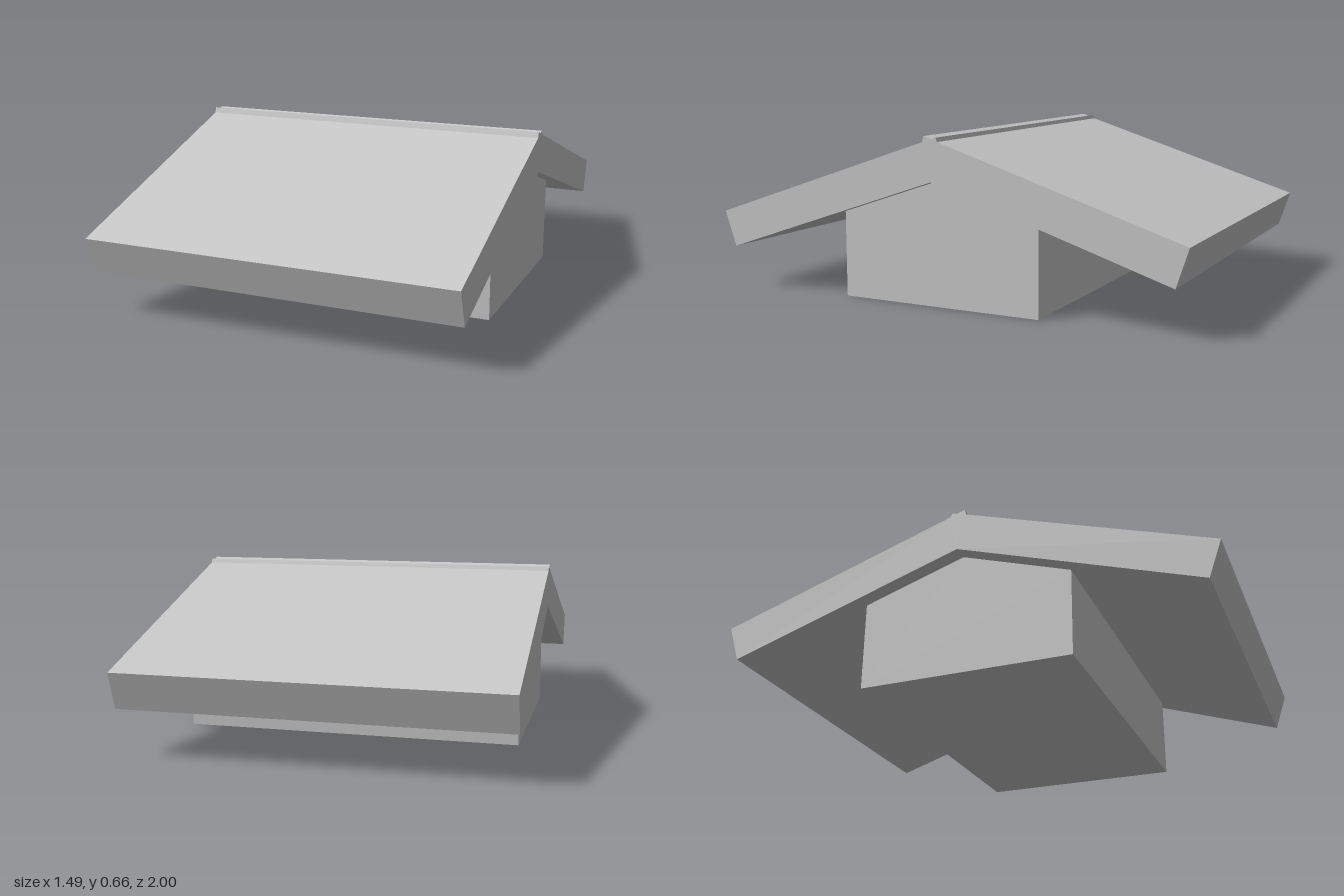
import * as THREE from 'three';

// Extrudes a side profile, given as [z, y] points, symmetrically along x
function extrudeProfile(name, points, width, material) {
  const shape = new THREE.Shape(points.map(([z, y]) => new THREE.Vector2(z, y)));
  const geometry = new THREE.ExtrudeGeometry(shape, { depth: width, bevelEnabled: false });
  geometry.translate(0, 0, -width / 2);
  geometry.rotateY(-Math.PI / 2);
  const mesh = new THREE.Mesh(geometry, material);
  mesh.name = name;
  return mesh;
}

export function createModel() {
  const model = new THREE.Group();
  model.name = 'gabledHouse';
  const plaster = new THREE.MeshStandardMaterial({ color: 0xc8c8c8 });
  plaster.name = 'light grey';

  // Walls: a closed block whose gabled top meets the roof underside
  model.add(extrudeProfile('walls', [
    [-0.414, 0], [0.436, 0], [0.436, 0.343], [0, 0.49], [-0.414, 0.357],
  ], 1.357, plaster));

  // Roof: two thick slopes crossing in a small V-shaped ridge
  model.add(extrudeProfile('roof', [
    [0.95, 0.17], [1, 0.314],
    [0.035, 0.638], [0.028, 0.661], [-0.005, 0.65], [-0.024, 0.657], [-0.03, 0.641],
    [-1, 0.33], [-0.953, 0.185], [0, 0.49],
  ], 1.486, plaster));

  return model;
}
